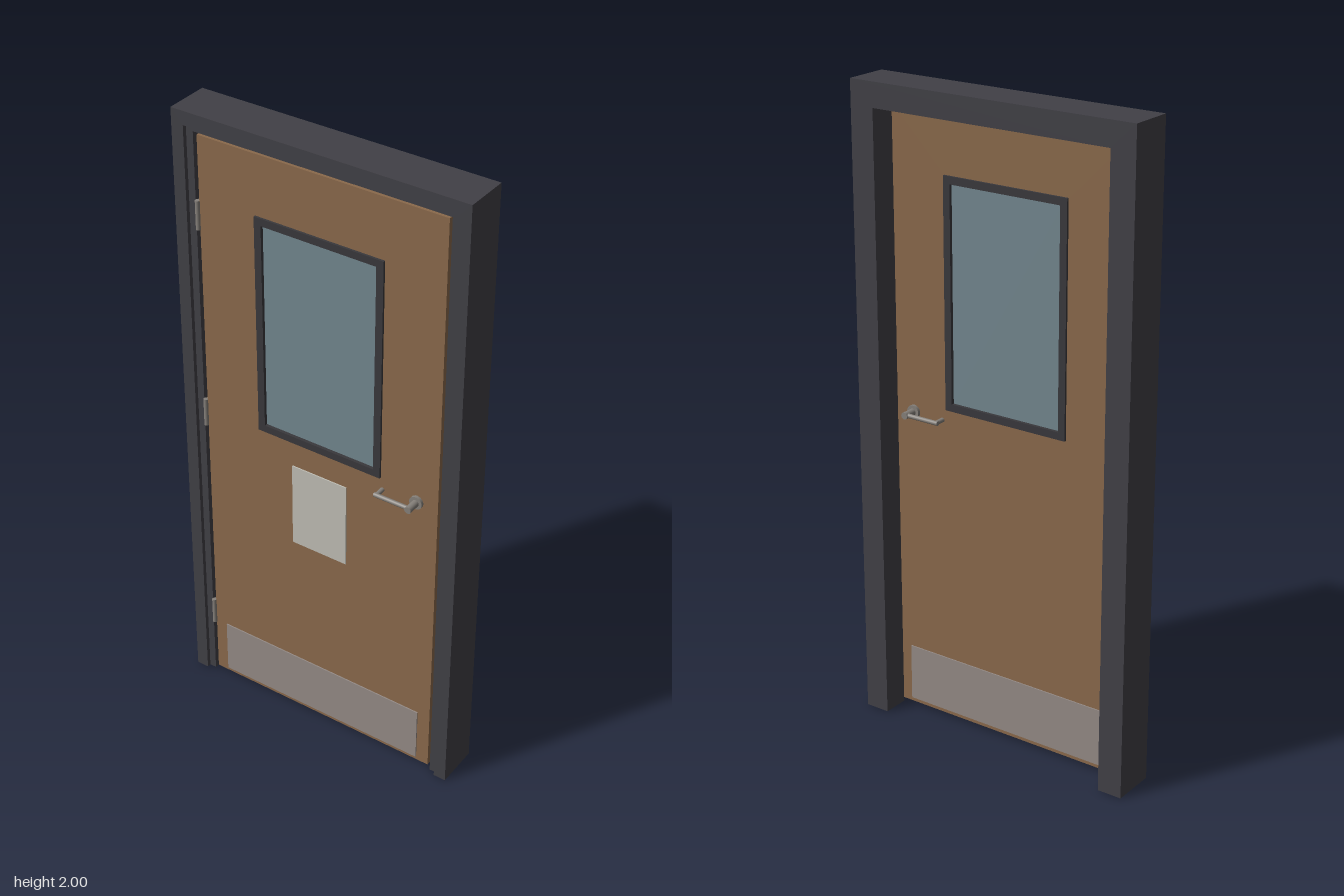
import * as THREE from 'three';

const mat = (name, color) => {
  const m = new THREE.MeshStandardMaterial({ color });
  m.name = name;
  return m;
};

export function createModel() {
  const frameMat = mat('charcoal frame paint', 0x414046);
  const woodMat = mat('brown wood', 0x8a694b);
  const glassMat = mat('blue grey glass', 0x72868e);
  const trimMat = mat('dark window trim', 0x39383c);
  const plateMat = mat('kick plate steel', 0x948a85);
  const paperMat = mat('pale notice', 0xbfbdb4);
  const metalMat = mat('brushed metal', 0x85807a);

  const model = new THREE.Group();
  model.name = 'door';
  const FRONT = 0.037, BACK = -0.003, MID = (FRONT + BACK) / 2;

  const add = (name, geo, material, x = 0, y = 0, z = 0, parent = model) => {
    const mesh = new THREE.Mesh(geo, material);
    mesh.name = name;
    mesh.position.set(x, y, z);
    parent.add(mesh);
    return mesh;
  };

  // Rectangle outline, used for shapes and for holes
  const rect = (T, x0, y0, x1, y1) => {
    const s = new T();
    s.moveTo(x0, y0);
    s.lineTo(x1, y0);
    s.lineTo(x1, y1);
    s.lineTo(x0, y1);
    s.closePath();
    return s;
  };
  const ring = (outer, inner, z0, z1) => {
    const s = rect(THREE.Shape, ...outer);
    s.holes.push(rect(THREE.Path, ...inner));
    const g = new THREE.ExtrudeGeometry(s, { depth: z1 - z0, bevelEnabled: false });
    return g.translate(0, 0, z0);
  };

  // Frame: an arch stepped inwards from the front edge to the stop
  const steps = [
    ['frameFace', 0.435, 1.957, 0.04, 0.053],
    ['frameRabbet', 0.412, 1.94, BACK, 0.04],
    ['frameStop', 0.396, 1.925, -0.088, BACK],
  ];
  for (const [name, hw, top, z0, z1] of steps) {
    const s = new THREE.Shape();
    [[-0.475, 0], [-hw, 0], [-hw, top], [hw, top], [hw, 0], [0.475, 0], [0.475, 2], [-0.475, 2]]
      .forEach(([x, y], i) => (i ? s.lineTo(x, y) : s.moveTo(x, y)));
    s.closePath();
    const g = new THREE.ExtrudeGeometry(s, { depth: z1 - z0, bevelEnabled: false });
    add(name, g, frameMat, 0, 0, z0);
  }

  // Door leaf with a window opening
  add('doorLeaf', ring([-0.402, 0.013, 0.402, 1.932], [-0.2, 1.05, 0.2, 1.73], BACK, FRONT), woodMat);
  add('windowTrim', ring([-0.211, 1.036, 0.211, 1.744], [-0.188, 1.059, 0.188, 1.721],
    BACK - 0.007, FRONT + 0.007), trimMat);
  add('windowGlass', new THREE.BoxGeometry(0.378, 0.664, 0.034), glassMat, 0, 1.39, MID);

  // Plates on the faces
  const kick = new THREE.BoxGeometry(0.72, 0.184, 0.004);
  add('frontKickPlate', kick, plateMat, 0, 0.118, FRONT + 0.002);
  add('backKickPlate', kick, plateMat, 0, 0.118, BACK - 0.002);
  add('notice', new THREE.BoxGeometry(0.19, 0.282, 0.004), paperMat, 0, 0.809, FRONT + 0.002);

  // Hinges on the right edge: knuckle and leaf
  for (const y of [1.685, 1.02, 0.248]) {
    const hinge = new THREE.Group();
    hinge.name = 'hinge';
    hinge.position.set(-0.406, y, 0);
    model.add(hinge);
    add('hingeKnuckle', new THREE.CylinderGeometry(0.007, 0.007, 0.092, 16), metalMat, 0, 0, 0.041, hinge);
    add('hingeLeaf', new THREE.BoxGeometry(0.006, 0.09, 0.036), metalMat, 0, 0, 0.02, hinge);
  }

  // Lever handles on both faces, built pointing outwards along z
  const rod = (name, r, length, parent, x, z, alongX) => {
    const g = new THREE.CylinderGeometry(r, r, length, 20);
    if (alongX) g.rotateZ(Math.PI / 2);
    else g.rotateX(Math.PI / 2);
    add(name, g, metalMat, x, 0, z, parent);
  };
  for (const side of [1, -1]) {
    const handle = new THREE.Group();
    handle.name = side > 0 ? 'frontHandle' : 'backHandle';
    handle.position.set(0.333, 1.003, side > 0 ? FRONT : BACK);
    model.add(handle);
    rod('handleRose', 0.021, 0.009, handle, 0, side * 0.0045, false);
    rod('handleSpindle', 0.011, 0.05, handle, 0, side * 0.025, false);
    rod('handleLever', 0.007, 0.118, handle, -0.059, side * 0.04, true);
    rod('handleReturn', 0.007, 0.032, handle, -0.111, side * 0.024, false);
  }
  return model;
}
